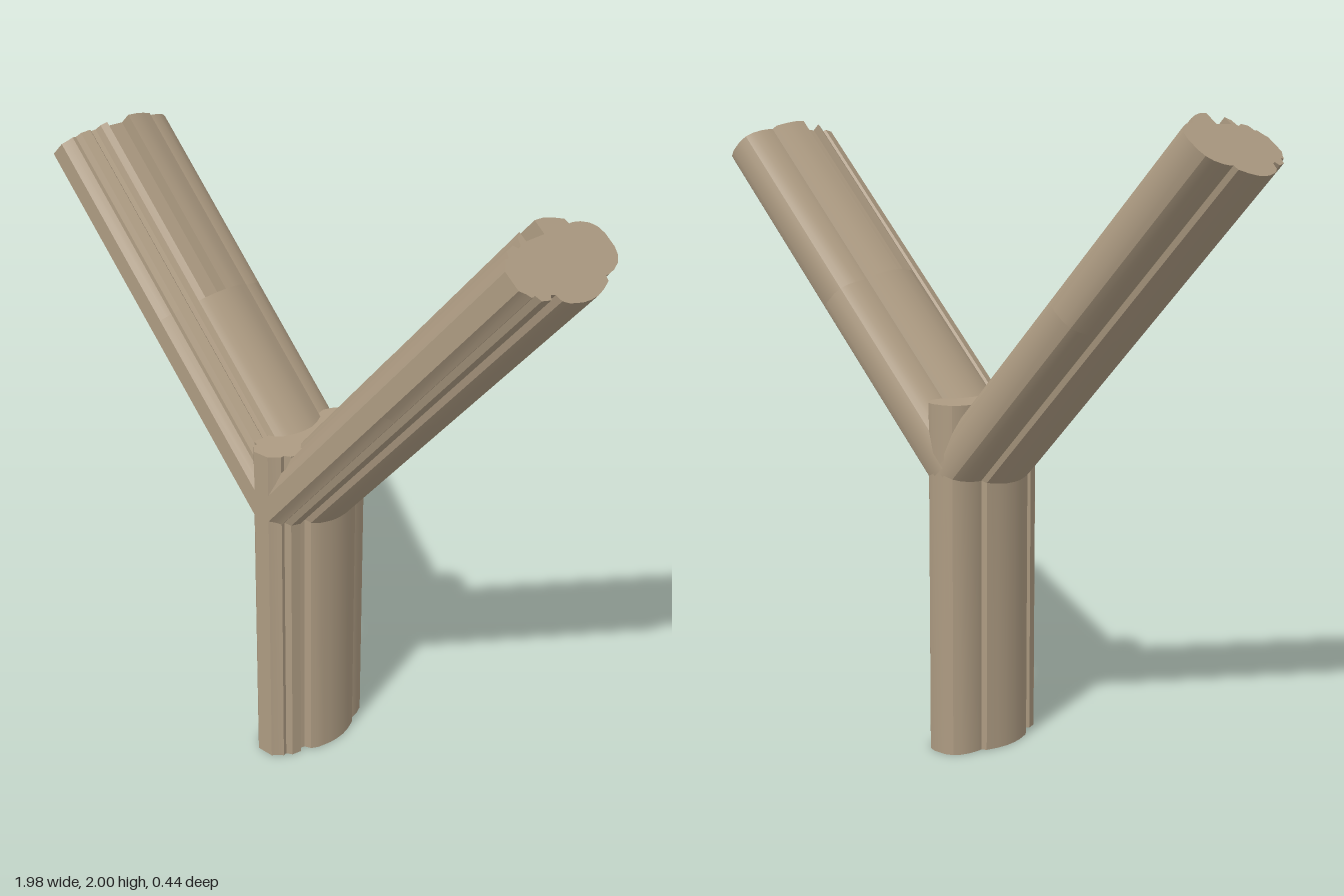
import * as THREE from 'three';
import { toCreasedNormals } from 'three/addons/utils/BufferGeometryUtils.js';

// Half of the bark outline, front to back: [half width, z]
const HALF = [
  [0.03, 0.22], [0.045, 0.203], [0.06, 0.192], [0.058, 0.178], [0.078, 0.168], [0.086, 0.135],
  [0.073, 0.123], [0.078, 0.108], [0.1, 0.1], [0.113, 0.08], [0.12, 0.055], [0.126, 0.028],
  [0.128, 0], [0.126, -0.035], [0.117, -0.07], [0.102, -0.108], [0.085, -0.114], [0.085, -0.13],
  [0.079, -0.16], [0.066, -0.19], [0.048, -0.21], [0.022, -0.22],
];

// The same half with a slot cut between z = 0 and z = 0.08
const SLOTTED = HALF.flatMap(([w, z]) => {
  if (z === 0.08) return [[w, z], [0.083, 0.08]];
  if (z === 0) return [[0.083, 0], [w, z]];
  return z > 0 && z < 0.08 ? [] : [[w, z]];
});

const TILT = 0.73;
const FORK_Y = 0.918;
const SLOT_START = 0.69;
const ARM_LENGTH = 1.339;

// Log with the bark outline, running up from y = from to y = to
function log(name, material, from, to, rightHalf = HALF, leftHalf = HALF) {
  const outline = [
    ...rightHalf.map(([w, z]) => new THREE.Vector2(w, -z)),
    ...leftHalf.map(([w, z]) => new THREE.Vector2(-w, -z)).reverse(),
  ];
  const extruded = new THREE.ExtrudeGeometry(new THREE.Shape(outline), {
    depth: to - from, bevelEnabled: false,
  });
  extruded.rotateX(-Math.PI / 2).translate(0, from, 0);
  const mesh = new THREE.Mesh(toCreasedNormals(extruded, 0.45), material);
  mesh.name = name;
  return mesh;
}

export function createModel() {
  const model = new THREE.Group();
  model.name = 'forkedTrunk';
  const bark = new THREE.MeshStandardMaterial({ color: 0xad9b82 });
  bark.name = 'bark';

  // Upright trunk, ending in a short stub between the branches
  model.add(log('trunk', bark, 0, 1.13));

  // Two mirrored branches, each with a slot in the upper side of its outer part
  for (const side of [1, -1]) {
    const branch = new THREE.Group();
    branch.name = side > 0 ? 'leftBranch' : 'rightBranch';
    branch.add(log('innerBranch', bark, 0, SLOT_START));
    branch.add(log('slottedBranch', bark, SLOT_START, ARM_LENGTH,
      side > 0 ? HALF : SLOTTED, side > 0 ? SLOTTED : HALF));
    branch.position.y = FORK_Y;
    branch.rotation.z = -side * TILT;
    model.add(branch);
  }
  return model;
}
